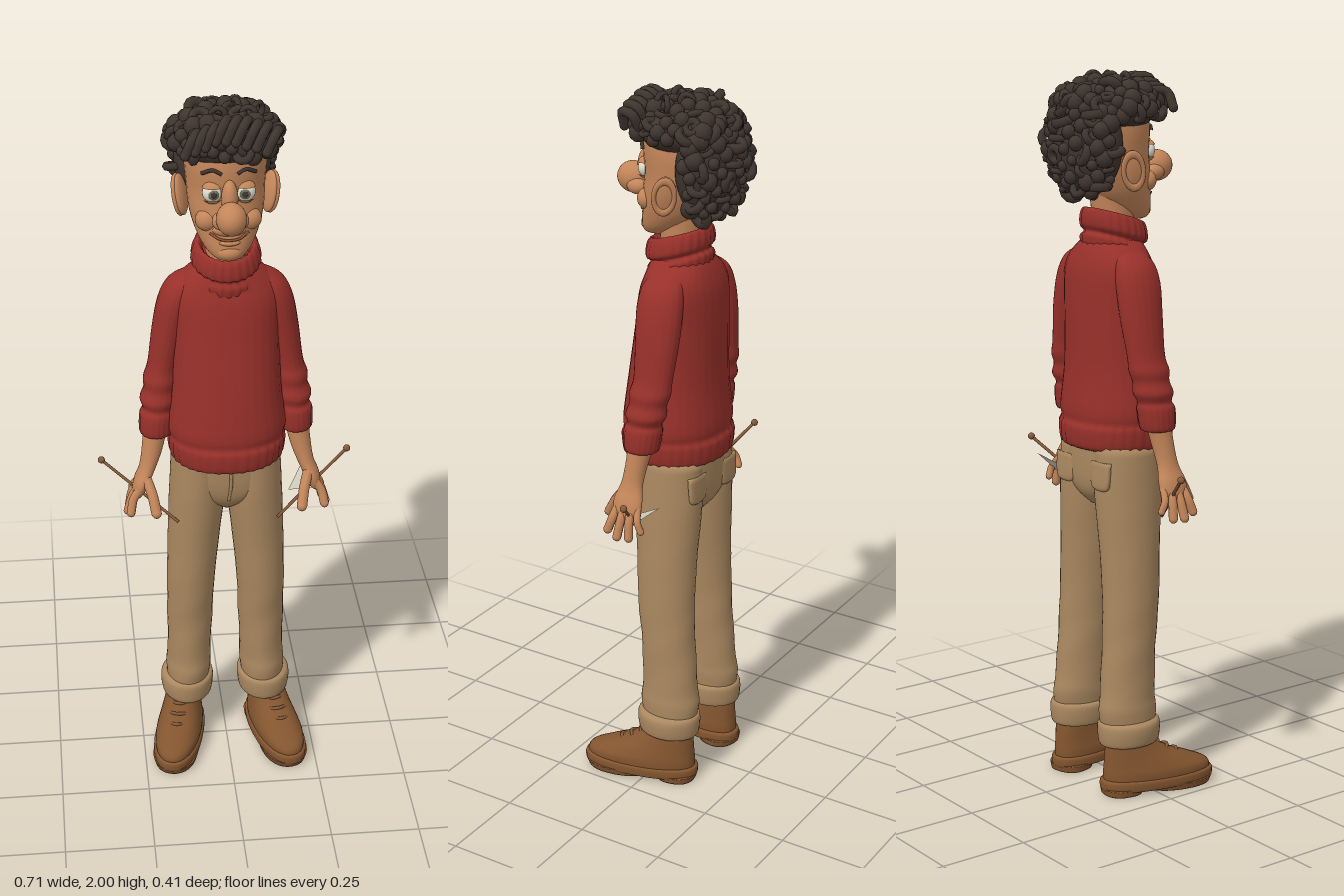
import * as THREE from 'three';
import { mergeGeometries } from 'three/addons/utils/BufferGeometryUtils.js';

const mat = (name, color) => Object.assign(new THREE.MeshStandardMaterial({ color }), { name });
const V = (x, y, z) => new THREE.Vector3(x, y, z);

// Smooth interpolation through rows of numbers
function sampleRows(rows, t) {
  const f = t * (rows.length - 1), i = Math.min(Math.floor(f), rows.length - 2), u = f - i;
  const at = k => rows[Math.max(0, Math.min(rows.length - 1, k))];
  const [a, b, c, d] = [at(i - 1), at(i), at(i + 1), at(i + 2)];
  return b.map((p, k) => p + 0.5 * u * (c[k] - a[k] + u * (2 * a[k] - 5 * p + 4 * c[k] - d[k]
    + u * (3 * (p - c[k]) + d[k] - a[k]))));
}

// Stacked ovals: rows of [y, centre x, centre z, radius x, radius z]; s mirrors x
function loft(rows, { seg = 32, sub = 4, s = 1, n = 2, ripple = () => 1 } = {}) {
  const pos = [], idx = [], count = (rows.length - 1) * sub;
  for (let i = 0; i <= count; i++) {
    const [y, cx, cz, rx, rz] = sampleRows(rows, i / count);
    for (let j = 0; j < seg; j++) {
      const a = j / seg * Math.PI * 2, c = Math.cos(a), d = Math.sin(a), k = ripple(a, y);
      pos.push(s * cx + Math.sign(c) * Math.abs(c) ** (2 / n) * rx * k, y,
        cz + Math.sign(d) * Math.abs(d) ** (2 / n) * rz * k);
      if (i < count) {
        const p = i * seg + j, q = i * seg + (j + 1) % seg;
        idx.push(p, p + seg, q, q, p + seg, q + seg);
      }
    }
  }
  const base = pos.length / 3, last = count * seg, b = rows[0], t = rows[rows.length - 1];
  pos.push(s * b[1], b[0], b[2], s * t[1], t[0], t[2]);
  for (let j = 0; j < seg; j++) {
    const m = (j + 1) % seg;
    idx.push(base, j, m, base + 1, last + m, last + j);
  }
  const g = new THREE.BufferGeometry();
  g.setAttribute('position', new THREE.Float32BufferAttribute(pos, 3));
  g.setIndex(idx);
  g.computeVertexNormals();
  return g;
}

const ball = (x, y, z, rx, ry, rz, w = 24, h = 16) =>
  new THREE.SphereGeometry(1, w, h).scale(rx, ry, rz).translate(x, y, z);
const tube = (pts, r, seg = 12) =>
  new THREE.TubeGeometry(new THREE.CatmullRomCurve3(pts), seg, r, 8, false);
// Rounded tube, for fingers and curls
const finger = (pts, r) => mergeGeometries([tube(pts, r),
  ...[pts[0], pts[pts.length - 1]].map(p => ball(p.x, p.y, p.z, r, r, r, 8, 6))]);

export function createModel() {
  const model = new THREE.Group();
  model.name = 'knitter';
  const skin = mat('skin', 0xc4865a), wool = mat('red wool', 0x98302a), cloth = mat('tan cloth', 0xaa8860);
  const leather = mat('brown leather', 0x83552f), dark = mat('dark hair', 0x40352f);
  const wood = mat('needle wood', 0x85593a), white = mat('eye white', 0xe6e0d4);
  const iris = mat('iris', 0x66705c), lip = mat('lip brown', 0x8c4f34), paper = mat('pale cloth', 0xd2cfbf);
  const add = (name, geo, material, parent = model) => {
    const m = new THREE.Mesh(geo, material);
    m.name = name;
    parent.add(m);
    return m;
  };
  const rib = (count, amp, test) => (a, y) => test(y) ? 1 + amp * Math.cos(a * count) : 1;

  // Sweater body and rolled collar
  add('sweaterBody', loft([[0.978, 0, -0.005, 0.142, 0.13], [0.99, 0, -0.005, 0.156, 0.142], [1.035, 0, -0.005, 0.162, 0.146],
    [1.055, 0, -0.005, 0.159, 0.138], [1.09, 0, -0.005, 0.163, 0.14], [1.2, 0, -0.007, 0.15, 0.128],
    [1.35, 0, -0.018, 0.145, 0.115], [1.45, 0, -0.024, 0.148, 0.105], [1.5, 0, -0.026, 0.132, 0.092],
    [1.54, 0, -0.022, 0.09, 0.078], [1.56, 0, -0.02, 0.06, 0.06]],
  { seg: 96, n: 2.2, ripple: (a, y) => 1 + (y < 1.05 ? 0.014 : 0.004) * Math.cos(a * 32) }), wool);
  const collar = loft([[1.505, 0, -0.015, 0.09, 0.085], [1.53, 0, -0.014, 0.092, 0.088], [1.545, 0, -0.013, 0.078, 0.08],
    [1.558, 0, -0.012, 0.092, 0.09], [1.58, 0, -0.012, 0.091, 0.092], [1.603, 0, -0.012, 0.083, 0.087],
    [1.608, 0, -0.012, 0.072, 0.076], [1.585, 0, -0.012, 0.06, 0.062]],
  { seg: 96, ripple: rib(24, 0.02, () => true) });
  const cp = collar.attributes.position;
  for (let i = 0; i < cp.count; i++) cp.setY(i, cp.getY(i) - cp.getZ(i) * 0.3);
  collar.computeVertexNormals();
  add('rolledCollar', collar, wool);

  // Head, neck and face
  add('neck', loft([[1.5, 0, -0.02, 0.058, 0.058], [1.6, 0, -0.015, 0.055, 0.058], [1.7, 0, -0.02, 0.06, 0.065]]), skin);
  add('head', loft([[1.597, 0, 0.062, 0.018, 0.022], [1.606, 0, 0.052, 0.042, 0.044], [1.63, 0, 0.03, 0.066, 0.068],
    [1.67, 0, 0.006, 0.086, 0.086], [1.72, 0, -0.01, 0.099, 0.098], [1.78, 0, -0.028, 0.104, 0.11],
    [1.85, 0, -0.032, 0.108, 0.117], [1.92, 0, -0.03, 0.095, 0.1], [1.955, 0, -0.03, 0.05, 0.05]]), skin);
  add('nose', mergeGeometries([ball(0, 1.738, 0.135, 0.04, 0.043, 0.047), ball(0, 1.775, 0.09, 0.022, 0.05, 0.03),
    ball(0.026, 1.722, 0.108, 0.022, 0.022, 0.03), ball(-0.026, 1.722, 0.108, 0.022, 0.022, 0.03)]), skin);
  add('chin', mergeGeometries([ball(0, 1.622, 0.075, 0.036, 0.024, 0.03), ball(0, 1.652, 0.082, 0.03, 0.01, 0.02),
    ball(0, 1.685, 0.075, 0.045, 0.02, 0.024)]), skin);
  add('mouth', tube([V(-0.05, 1.676, 0.077), V(-0.025, 1.664, 0.093), V(0, 1.662, 0.098),
    V(0.025, 1.664, 0.093), V(0.05, 1.676, 0.077)], 0.0035), lip);

  // Scalp and curls
  const masses = [[0, 1.9, -0.035, 0.138, 0.072, 0.13], [0, 1.808, -0.105, 0.13, 0.142, 0.078]];
  const hair = masses.map(m => ball(...m));
  let seed = 7;
  const rnd = () => (seed = (seed * 16807) % 2147483647) / 2147483647;
  masses.forEach(([cx, cy, cz, rx, ry, rz], k) => {
    for (let i = 0; i < 130; i++) {
      const v = 1 - 2 * (i + 0.5) / 130, a = i * 2.39996, h = Math.sqrt(1 - v * v);
      const n = V(h * Math.cos(a), v, h * Math.sin(a));
      if (k === 0 ? v < -0.25 : n.z > 0.1) continue;
      const r = 0.014 + rnd() * 0.014;
      const g = i % 3 ? ball(0, 0, 0, r, r, r, 8, 6)
        : new THREE.TorusGeometry(r * 0.85, r * 0.5, 6, 12).rotateX(rnd() * 3).rotateY(rnd() * 3);
      hair.push(g.translate(cx + n.x * rx, cy + n.y * ry, cz + n.z * rz));
    }
  });
  for (let i = 0; i < 9; i++) {
    const x = -0.1 + i * 0.026, y = 1.955 - x * x * 3 + rnd() * 0.012;
    hair.push(finger([V(x, y - 0.03, 0.045), V(x + 0.02, y + 0.012, 0.055), V(x + 0.005, y + 0.012, 0.095),
      V(x - 0.015, y - 0.03, 0.102)], 0.013));
    if (i > 2 && i < 8) hair.push(new THREE.TorusGeometry(0.018, 0.008, 6, 14).rotateY(i).translate(x, 1.972, 0.01 - (i % 3) * 0.03));
  }
  add('curlyHair', mergeGeometries(hair), dark);

  for (const s of [1, -1]) {
    const side = new THREE.Group();
    side.name = s > 0 ? 'leftSide' : 'rightSide';
    model.add(side);
    const P = (x, y, z) => V(s * x, y, z);

    // Eye, lid, brow, cheek and ear
    const ex = s * 0.042;
    add('eyeWhite', ball(ex, 1.785, 0.067, 0.027, 0.027, 0.021), white, side);
    add('iris', ball(ex * 0.97, 1.784, 0.084, 0.014, 0.014, 0.006), iris, side);
    add('pupil', ball(ex * 0.97, 1.784, 0.088, 0.008, 0.008, 0.004), dark, side);
    add('eyelid', new THREE.SphereGeometry(1, 20, 10, 0, Math.PI * 2, 0, 1.05).scale(0.031, 0.031, 0.025)
      .translate(ex, 1.785, 0.067), skin, side);
    add('lowerLid', new THREE.SphereGeometry(1, 20, 10, 0, Math.PI * 2, 2.15, 0.99).scale(0.031, 0.031, 0.025)
      .translate(ex, 1.785, 0.067), skin, side);
    add('eyebrow', tube([P(0.02, 1.84, 0.085), P(0.042, 1.85, 0.08), P(0.07, 1.836, 0.062)], 0.005), dark, side);
    add('cheek', ball(s * 0.055, 1.705, 0.055, 0.032, 0.03, 0.028), skin, side);
    const ear = new THREE.Group();
    ear.name = 'ear';
    ear.position.set(s * 0.116, 1.74, -0.035);
    ear.rotation.set(-0.15, s * 0.45, -s * 0.15);
    side.add(ear);
    add('earShell', ball(0, 0, 0, 0.013, 0.056, 0.032), skin, ear);
    add('earRim', new THREE.TorusGeometry(0.027, 0.007, 8, 24).rotateY(Math.PI / 2).scale(1, 1.7, 1)
      .translate(s * 0.008, 0, 0), skin, ear);

    // Sleeve with folds and ribbed cuff
    add('sleeve', loft([[1.045, 0.194, -0.01, 0.036, 0.04], [1.055, 0.194, -0.01, 0.046, 0.05], [1.105, 0.191, -0.013, 0.048, 0.054],
      [1.125, 0.188, -0.016, 0.042, 0.049], [1.15, 0.187, -0.02, 0.05, 0.058], [1.18, 0.182, -0.024, 0.044, 0.053],
      [1.21, 0.179, -0.028, 0.047, 0.059], [1.25, 0.172, -0.033, 0.041, 0.056], [1.35, 0.154, -0.035, 0.046, 0.063],
      [1.44, 0.135, -0.032, 0.048, 0.066], [1.495, 0.114, -0.03, 0.042, 0.056], [1.525, 0.088, -0.028, 0.018, 0.03]],
    { seg: 64, s, ripple: (a, y) => 1 + (y < 1.11 ? 0.02 : 0.007) * Math.cos(a * 20) }), wool, side);

    // Forearm, palm and fingers
    add('forearmAndPalm', loft([[0.862, 0.25, 0.005, 0.014, 0.034], [0.88, 0.245, 0.006, 0.02, 0.042], [0.91, 0.236, 0.008, 0.023, 0.043],
      [0.95, 0.22, 0.006, 0.024, 0.032], [1.0, 0.207, 0, 0.029, 0.031], [1.07, 0.195, -0.01, 0.034, 0.036]], { s }), skin, side);
    const tips = [[0.272, 0.824, 0.052], [0.279, 0.812, 0.018], [0.273, 0.814, -0.016], [0.262, 0.836, -0.048]];
    add('fingers', mergeGeometries(tips.map(([x, y, z], i) => finger([P(0.24, 0.895, 0.034 - i * 0.02),
      P(0.263, 0.862, 0.04 - i * 0.026), P(x, y, z)], i === 3 ? 0.01 : 0.0125))), skin, side);
    add('thumb', finger([P(0.228, 0.925, 0.03), P(0.212, 0.885, 0.065), P(0.203, 0.842, 0.092)], 0.0145), skin, side);

    // Knitting needle
    add('needle', tube([P(0.347, 0.94, -0.05), P(0.243, 0.863, 0), P(0.14, 0.785, 0.05)], 0.0045), wood, side);
    add('needleKnob', ball(s * 0.347, 0.94, -0.05, 0.01, 0.01, 0.01), wood, side);

    // Trouser leg and turned-up cuff
    add('trouserLeg', loft([[0.18, 0.112, -0.045, 0.06, 0.08], [0.24, 0.109, -0.046, 0.066, 0.088], [0.29, 0.107, -0.045, 0.063, 0.084],
      [0.42, 0.104, -0.038, 0.066, 0.08], [0.55, 0.101, -0.029, 0.069, 0.084], [0.7, 0.092, -0.026, 0.074, 0.089],
      [0.85, 0.081, -0.024, 0.079, 0.099], [0.99, 0.076, -0.022, 0.076, 0.101]], { s,
      ripple: (a, y) => 1 + 0.012 * Math.sin(y * 48 + a * 2) * (y < 0.55 ? 1 : 0.3) }), cloth, side);
    add('trouserCuff', loft([[0.142, 0.114, -0.045, 0.062, 0.08], [0.148, 0.114, -0.045, 0.072, 0.09], [0.18, 0.114, -0.045, 0.077, 0.094],
      [0.204, 0.113, -0.045, 0.075, 0.092], [0.212, 0.112, -0.045, 0.062, 0.08]], { s }), cloth, side);
    add('backPocket', loft([[0.87, 0.08, -0.115, 0.02, 0.008], [0.885, 0.08, -0.118, 0.038, 0.01], [0.95, 0.08, -0.115, 0.042, 0.01]],
      { s, n: 3 }), cloth, side);

    // Shoe, toes turned out
    const shoe = new THREE.Group();
    shoe.name = 'shoe';
    shoe.position.set(s * 0.137, 0, 0);
    shoe.rotation.y = s * 0.22;
    side.add(shoe);
    add('upper', loft([[0.03, 0, 0.032, 0.064, 0.162], [0.06, 0, 0.03, 0.066, 0.16], [0.085, 0, 0.006, 0.06, 0.134],
      [0.115, 0, -0.03, 0.052, 0.096], [0.15, 0, -0.052, 0.046, 0.07], [0.17, 0, -0.054, 0.044, 0.066]], { n: 2.2 }), leather, shoe);
    add('sole', loft([[0.012, 0, 0.032, 0.062, 0.162], [0.016, 0, 0.032, 0.069, 0.17], [0.038, 0, 0.032, 0.07, 0.171],
      [0.044, 0, 0.032, 0.064, 0.164]], { n: 2.3 }), leather, shoe);
    add('heel', loft([[0, 0, -0.076, 0.055, 0.056], [0.02, 0, -0.076, 0.058, 0.06]], { n: 2.4 }), leather, shoe);
    add('foreSole', loft([[0, 0, 0.095, 0.062, 0.098], [0.02, 0, 0.095, 0.067, 0.106]], { n: 2.2 }), leather, shoe);
    for (let i = 0; i < 3; i++) {
      const y = 0.102 + i * 0.017, z = 0.092 - i * 0.029;
      add('lace', tube([V(-0.034, y - 0.01, z - 0.022), V(0, y + 0.003, z), V(0.034, y - 0.01, z - 0.022)], 0.005), wood, shoe);
    }
  }

  // Trouser seat, waistband and fly seam
  add('trouserSeat', loft([[0.815, 0, -0.025, 0.025, 0.06], [0.85, 0, -0.025, 0.09, 0.09], [0.9, 0, -0.024, 0.148, 0.102],
    [1.0, 0, -0.022, 0.15, 0.104]], { n: 2.3 }), cloth);
  add('flySeam', tube([V(0.004, 0.985, 0.081), V(0.006, 0.92, 0.08), V(0, 0.86, 0.068)], 0.005), cloth);

  // Knitted scrap held in the left hand
  const scrap = new THREE.BufferGeometry();
  scrap.setAttribute('position', new THREE.Float32BufferAttribute(
    [0.247, 0.915, -0.1, 0.262, 0.84, -0.01, 0.175, 0.845, 0.005, 0.215, 0.885, -0.055], 3));
  scrap.setIndex([0, 1, 3, 3, 1, 2]);
  scrap.computeVertexNormals();
  paper.side = THREE.DoubleSide;
  add('knittedScrap', scrap, paper);
  return model;
}
